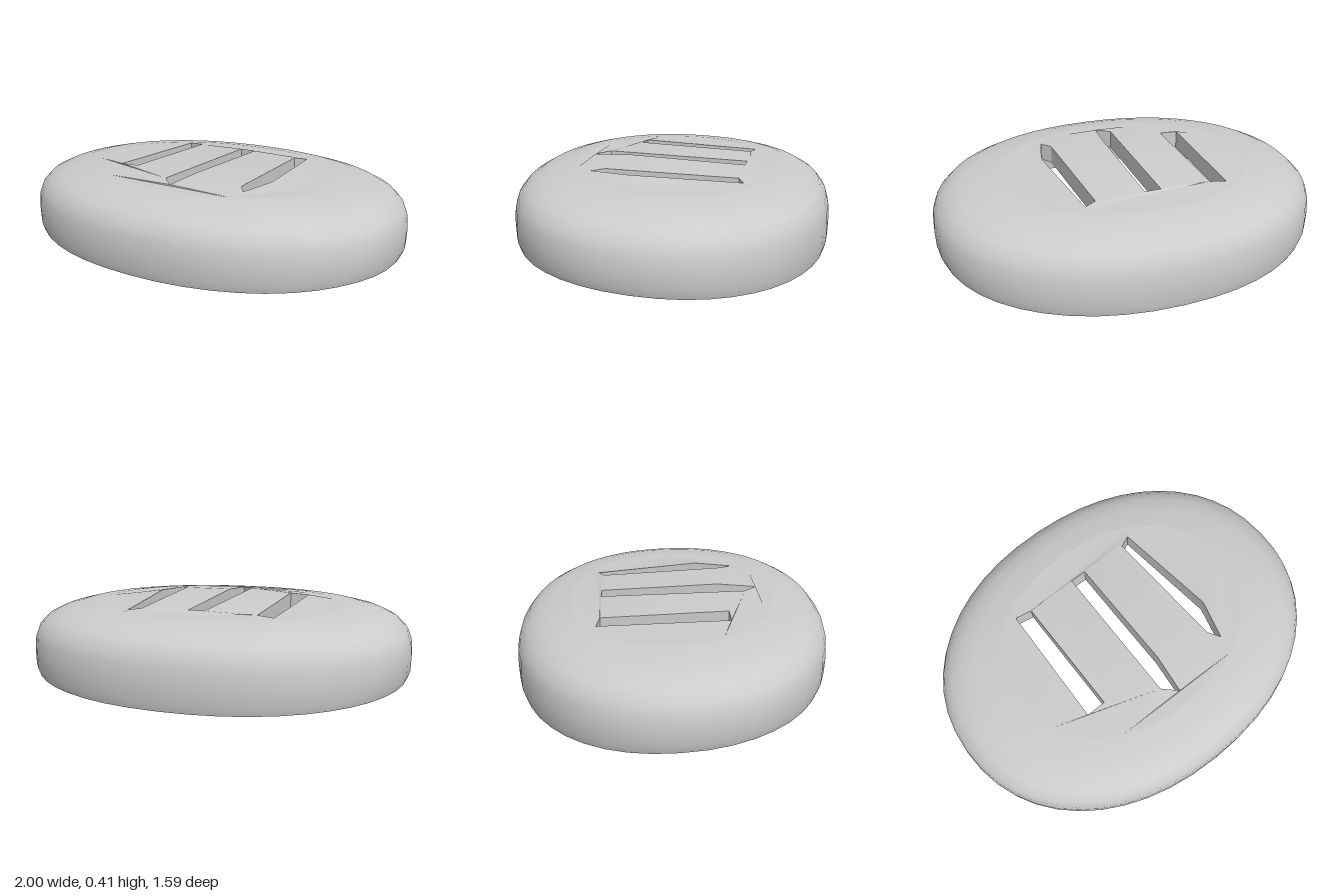
import * as THREE from 'three';
import { toCreasedNormals } from 'three/addons/utils/BufferGeometryUtils.js';

const RX = 1, RZ = 0.795, POW = 2.15, SEGMENTS = 48, PLATE = 0.65;

// Rounded-oval outline, s = 1 at the widest edge
function outline(angle, s) {
  const bend = (v) => Math.sign(v) * Math.pow(Math.abs(v), 2 / POW);
  return [RX * s * bend(Math.sin(angle)), RZ * s * bend(Math.cos(angle))];
}

// Lean the top slightly back and let the rim droop toward the rear
function lean(y, z) {
  const low = THREE.MathUtils.clamp(1 - (y - 0.065) / 0.2, 0, 1);
  const t = THREE.MathUtils.clamp((0.4 - z) / 1.2, 0, 1);
  return y + (1 - low) * 0.03 * z - low * 0.065 * Math.pow(t, 1.3);
}

// Hollow body: inner wall down to the rim, then the outer wall up to the top plate
function makeShell(profile, crease) {
  const geo = new THREE.LatheGeometry(profile.map(([s, y]) => new THREE.Vector2(s, y)), SEGMENTS);
  const pos = geo.attributes.position;
  for (let i = 0; i < pos.count; i++) {
    const x0 = pos.getX(i), z0 = pos.getZ(i);
    const [x, z] = outline(Math.atan2(x0, z0), Math.hypot(x0, z0));
    pos.setXYZ(i, x, lean(pos.getY(i), z), z);
  }
  return toCreasedNormals(geo, crease);
}

// Slotted centre of the top, gently domed
function makePlate(slots) {
  const edge = [];
  for (let i = 0; i < SEGMENTS; i++) {
    edge.push(new THREE.Vector2(...outline((i / SEGMENTS) * Math.PI * 2, PLATE)));
  }
  const shape = new THREE.Shape(edge);
  for (const slot of slots) {
    shape.holes.push(new THREE.Path(slot.map(([x, z]) => new THREE.Vector2(x, z))));
  }
  const geo = new THREE.ExtrudeGeometry(shape, { depth: 1, bevelEnabled: false });
  geo.rotateX(Math.PI / 2);
  const pos = geo.attributes.position;
  for (let i = 0; i < pos.count; i++) {
    const x = pos.getX(i), z = pos.getZ(i);
    const s = Math.hypot(x / RX, z / RZ);
    const top = 0.415 - 0.03 * Math.min(1, Math.pow(s / PLATE, 2));
    pos.setY(i, lean(pos.getY(i) > -0.5 ? top : 0.3, z));
  }
  return toCreasedNormals(geo, 0.5);
}

export function createModel() {
  const group = new THREE.Group();
  const material = new THREE.MeshStandardMaterial({ color: 0xcccccc });
  const add = (name, geo) => {
    const mesh = new THREE.Mesh(geo, material);
    mesh.name = name;
    group.add(mesh);
  };

  add('outerShell', makeShell([
    [0.96, 0.065], [0.985, 0.068], [0.998, 0.1], [1, 0.17], [0.994, 0.23], [0.975, 0.275],
    [0.93, 0.32], [0.87, 0.348], [0.78, 0.37], [PLATE, 0.385],
  ], 0.6));
  add('innerShell', makeShell([
    [PLATE, 0.3], [0.82, 0.3], [0.91, 0.24], [0.95, 0.14], [0.96, 0.065],
  ], 0.1));

  // Three irregular slots cut through the top, as x, z corners
  add('slottedTop', makePlate([
    [[-0.405, -0.37], [-0.32, -0.355], [-0.32, 0.27], [-0.42, 0.27]],
    [[-0.055, -0.36], [0.03, -0.36], [0.03, 0.25], [0.01, 0.45], [-0.06, 0.385]],
    [[0.28, -0.36], [0.34, -0.39], [0.405, 0.16], [0.355, 0.36], [0.315, 0.3]],
  ]));
  return group;
}
